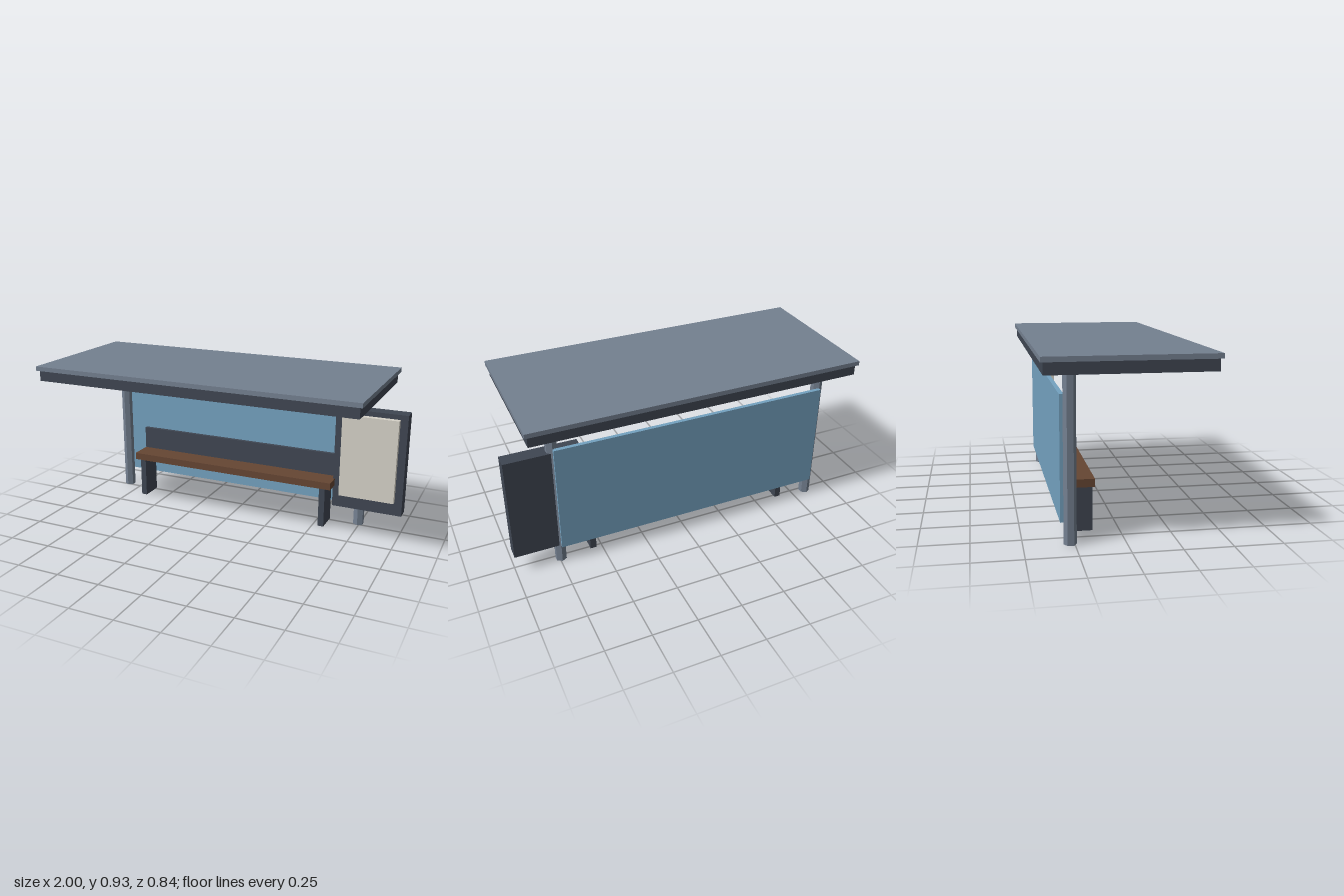
import * as THREE from 'three';

const paint = (color) => new THREE.MeshStandardMaterial({ color, flatShading: true });

export function createModel() {
  const shelter = new THREE.Group();
  shelter.name = 'busShelter';

  const steel = paint(0x748090);
  const dark = paint(0x3f4652);
  const glass = paint(0x74a2c0);
  const wood = paint(0x664633);
  const paper = paint(0xd6d2c8);

  // Box given by its extents on each axis
  const box = (name, material, [x0, x1], [y0, y1], [z0, z1], parent = shelter) => {
    const mesh = new THREE.Mesh(new THREE.BoxGeometry(x1 - x0, y1 - y0, z1 - z0), material);
    mesh.position.set((x0 + x1) / 2, (y0 + y1) / 2, (z0 + z1) / 2);
    mesh.name = name;
    parent.add(mesh);
    return mesh;
  };

  // Roof slab over a slightly inset fascia
  box('roof', steel, [-1, 0.9], [0.905, 0.93], [-0.42, 0.42]);
  box('roofFascia', dark, [-0.985, 0.885], [0.845, 0.905], [-0.407, 0.407]);

  // Hexagonal posts
  for (const [name, x] of [['rightPost', -0.838], ['leftPost', 0.742]]) {
    const post = new THREE.Mesh(new THREE.CylinderGeometry(0.032, 0.032, 0.845, 6), steel);
    post.position.set(x, 0.4225, -0.272);
    post.name = name;
    shelter.add(post);
  }

  // Rear glazing
  box('backPanel', glass, [-0.838, 0.742], [0.11, 0.735], [-0.32, -0.298]);

  // Bench: seat, backrest and two slab legs
  const bench = new THREE.Group();
  bench.name = 'bench';
  shelter.add(bench);
  box('seat', wood, [-0.7, 0.6], [0.238, 0.28], [-0.272, -0.128], bench);
  box('backrest', dark, [-0.7, 0.6], [0.28, 0.415], [-0.283, -0.261], bench);
  box('rightLeg', dark, [-0.667, -0.632], [0, 0.238], [-0.267, -0.135], bench);
  box('leftLeg', dark, [0.532, 0.567], [0, 0.238], [-0.267, -0.135], bench);

  // Display case with a raised poster
  const display = new THREE.Group();
  display.name = 'displayCase';
  shelter.add(display);
  box('caseFrame', dark, [0.59, 1], [0.11, 0.71], [-0.299, -0.218], display);
  box('poster', paper, [0.635, 0.957], [0.193, 0.682], [-0.22, -0.185], display);

  return shelter;
}
